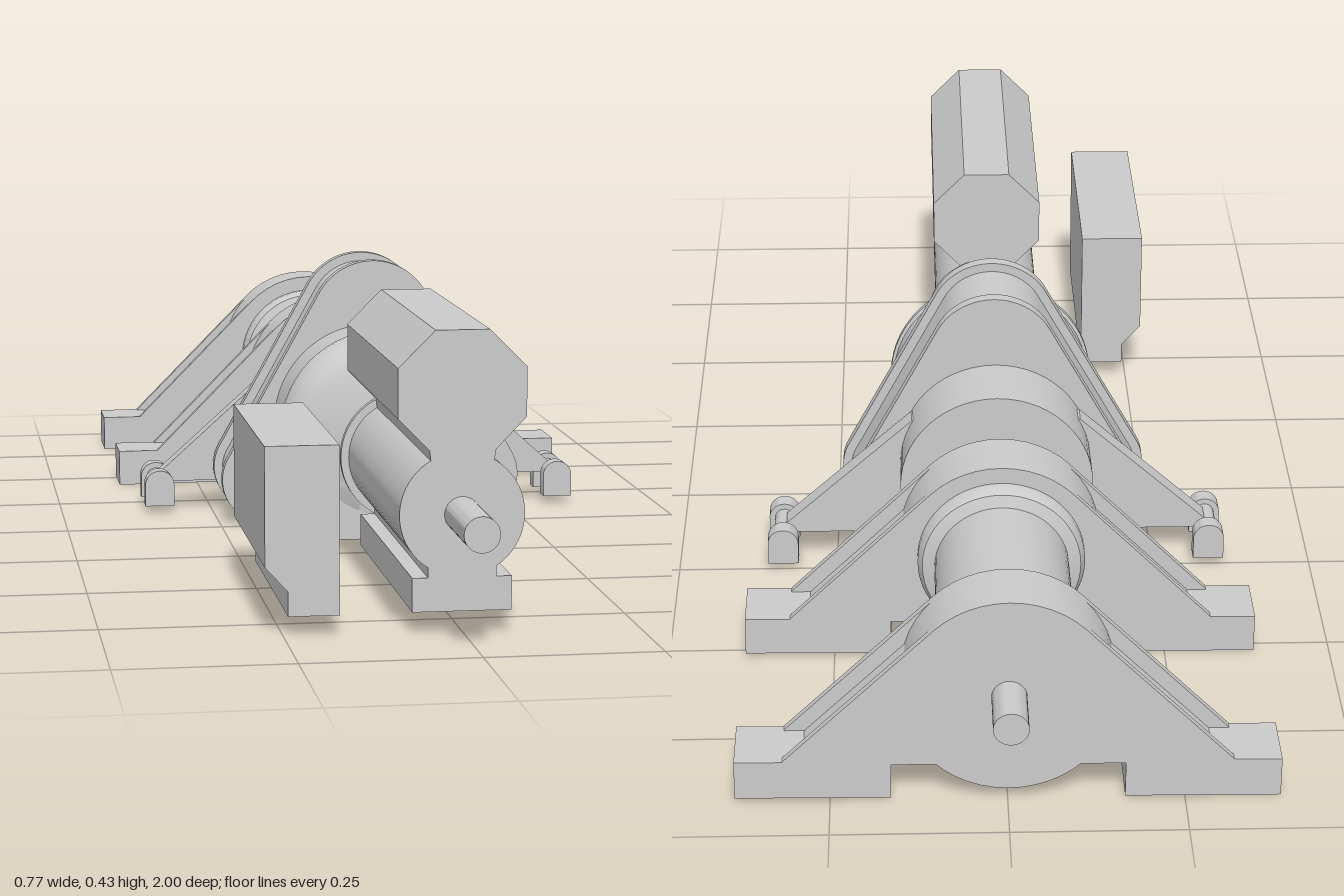
import * as THREE from 'three';
import { toCreasedNormals } from 'three/addons/utils/BufferGeometryUtils.js';

const AX = -0.002, AY = 0.17; // shaft axis
const mat = new THREE.MeshStandardMaterial({ color: 0xcccccc });

export function createModel() {
  const root = new THREE.Group();
  root.name = 'winchDrive';

  const add = (name, geo, parent = root) => {
    const m = new THREE.Mesh(geo, mat);
    m.name = name;
    parent.add(m);
    return m;
  };
  // body of revolution about the shaft axis; points are [radius, z], z ascending
  const turned = (name, pts) => {
    const g = new THREE.LatheGeometry(pts.map(p => new THREE.Vector2(...p)), 56);
    g.rotateX(Math.PI / 2);
    const m = add(name, toCreasedNormals(g, 0.6));
    m.position.set(AX, AY, 0);
    return m;
  };
  const rod = (name, r, z0, z1) => turned(name, [[0, z0], [r, z0], [r, z1], [0, z1]]);
  // outline in x/y extruded from z0 to z1
  const slab = (name, shape, z0, z1, parent = root) => {
    const g = new THREE.ExtrudeGeometry(shape, { depth: z1 - z0, bevelEnabled: false, curveSegments: 24 });
    g.translate(0, 0, z0);
    return add(name, toCreasedNormals(g, 0.5), parent);
  };
  const poly = pts => new THREE.Shape(pts.map(p => new THREE.Vector2(...p)));
  const block = (name, x0, x1, y0, y1, z0, z1, parent = root) => {
    const m = add(name, new THREE.BoxGeometry(x1 - x0, y1 - y0, z1 - z0), parent);
    m.position.set((x0 + x1) / 2, (y0 + y1) / 2, (z0 + z1) / 2);
    return m;
  };

  rod('driveShaft', 0.025, -1, 1);

  // Motor with terminal housing, foot and end bell
  turned('motorBody', [[0, 0.345], [0.088, 0.345], [0.088, 0.845], [0, 0.845]]);
  slab('motorTopHousing', poly([
    [-0.045, 0.235], [0.041, 0.235], [0.045, 0.26], [0.088, 0.305], [0.088, 0.375],
    [0.036, 0.427], [-0.04, 0.427], [-0.092, 0.375], [-0.092, 0.305], [-0.048, 0.26],
  ]), 0.345, 0.845);
  slab('motorFoot', poly([
    [-0.072, 0.034], [0.068, 0.034], [0.068, 0.082], [0.046, 0.082],
    [0.046, 0.11], [-0.05, 0.11], [-0.05, 0.082], [-0.072, 0.082],
  ]), 0.345, 0.845);
  turned('motorEndBell', [
    [0, 0.29], [0.055, 0.29], [0.072, 0.297], [0.08, 0.31], [0.084, 0.332],
    [0.1, 0.332], [0.1, 0.345], [0, 0.345],
  ]);

  // Separate control cabinet beside the motor
  slab('controlCabinet', poly([
    [-0.243, 0.03], [-0.171, 0.03], [-0.171, 0.269], [-0.275, 0.269], [-0.275, 0.1], [-0.243, 0.065],
  ]), 0.43, 0.83);

  // Gearbox: input bell, rounded triangular case with rims, output cover
  turned('gearboxBell', [
    [0, -0.03], [0.16, -0.03], [0.16, 0.1], [0.165, 0.102], [0.165, 0.112],
    [0.155, 0.133], [0.14, 0.15], [0.125, 0.16], [0, 0.16],
  ]);
  block('gearboxFoot', -0.1, 0.096, 0.007, 0.11, 0.115, 0.16);
  const caseShape = inset => {
    const s = new THREE.Shape(), t = Math.PI / 6;
    s.absarc(0.17, 0.077, 0.072 - inset, -Math.PI / 2, t - 0.02);
    s.absarc(0, 0.333, 0.1 - inset, t, Math.PI - t);
    s.absarc(-0.175, 0.077, 0.072 - inset, Math.PI - t + 0.02, Math.PI * 1.5);
    s.closePath();
    return s;
  };
  slab('gearCase', caseShape(0.014), -0.155, -0.035);
  slab('frontCaseRim', caseShape(0), -0.035, -0.015);
  slab('rearCaseRim', caseShape(0), -0.172, -0.152);
  rod('outputCover', 0.15, -0.29, -0.165);

  // Cross plate with a clamp at each end
  slab('crossPlate', poly([
    [-0.335, 0.05], [0.33, 0.05], [0.33, 0.066], [0.13, 0.245], [-0.135, 0.245], [-0.335, 0.066],
  ]), -0.215, -0.18);
  for (const side of [-1, 1]) {
    const clamp = new THREE.Group();
    clamp.name = side > 0 ? 'leftClamp' : 'rightClamp';
    clamp.position.set(side * 0.337 - 0.002, 0.05, -0.197);
    root.add(clamp);
    const pin = add('clampPin', new THREE.CylinderGeometry(0.015, 0.015, 0.1, 24), clamp);
    pin.rotation.x = Math.PI / 2;
    const jaw = new THREE.Shape();
    jaw.moveTo(-0.024, -0.035);
    jaw.lineTo(0.024, -0.035);
    jaw.absarc(0, 0, 0.024, 0, Math.PI);
    jaw.closePath();
    slab('frontJaw', jaw, 0.03, 0.058, clamp);
    slab('rearJaw', jaw, -0.058, -0.03, clamp);
  }

  // Bearing stands: round hub, grooved sloping legs and block feet
  const stand = (name, z0, z1) => {
    const g = new THREE.Group();
    g.name = name;
    g.position.set(AX, AY, 0);
    g.rotation.z = 0.008;
    root.add(g);
    const hub = new THREE.Shape();
    hub.absarc(0, 0, 0.15, 0, Math.PI * 2);
    slab('standHub', hub, z0, z1, g);
    for (const s of [-1, 1]) {
      const leg = d => poly([
        [0.106 - d, 0.106 - d], [0.317 - d, -0.104 - d], [0.317 - d, -0.125],
        [0.2, -0.125], [0.18, -0.11], [0.09, -0.11], [0, 0],
      ].map(([x, y]) => [s * x, y]));
      slab('legCore', leg(0.015), z0 + 0.01, z1 - 0.01, g);
      slab('legRearCheek', leg(0), z0, z0 + 0.012, g);
      slab('legFrontCheek', leg(0), z1 - 0.012, z1, g);
      const xs = [0.165 * s, 0.385 * s].sort((a, b) => a - b);
      block('standFoot', ...xs, -0.164, -0.105, z0, z1, g);
    }
  };
  stand('frontStand', -0.52, -0.425);
  stand('rearStand', -0.915, -0.82);

  // Drum between the stands with rounded end collars
  turned('drum', [
    [0, -0.825], [0.125, -0.825], [0.125, -0.808], [0.118, -0.796], [0.1, -0.79],
    [0.1, -0.55], [0.118, -0.544], [0.125, -0.532], [0.125, -0.515], [0, -0.515],
  ]);

  return root;
}
